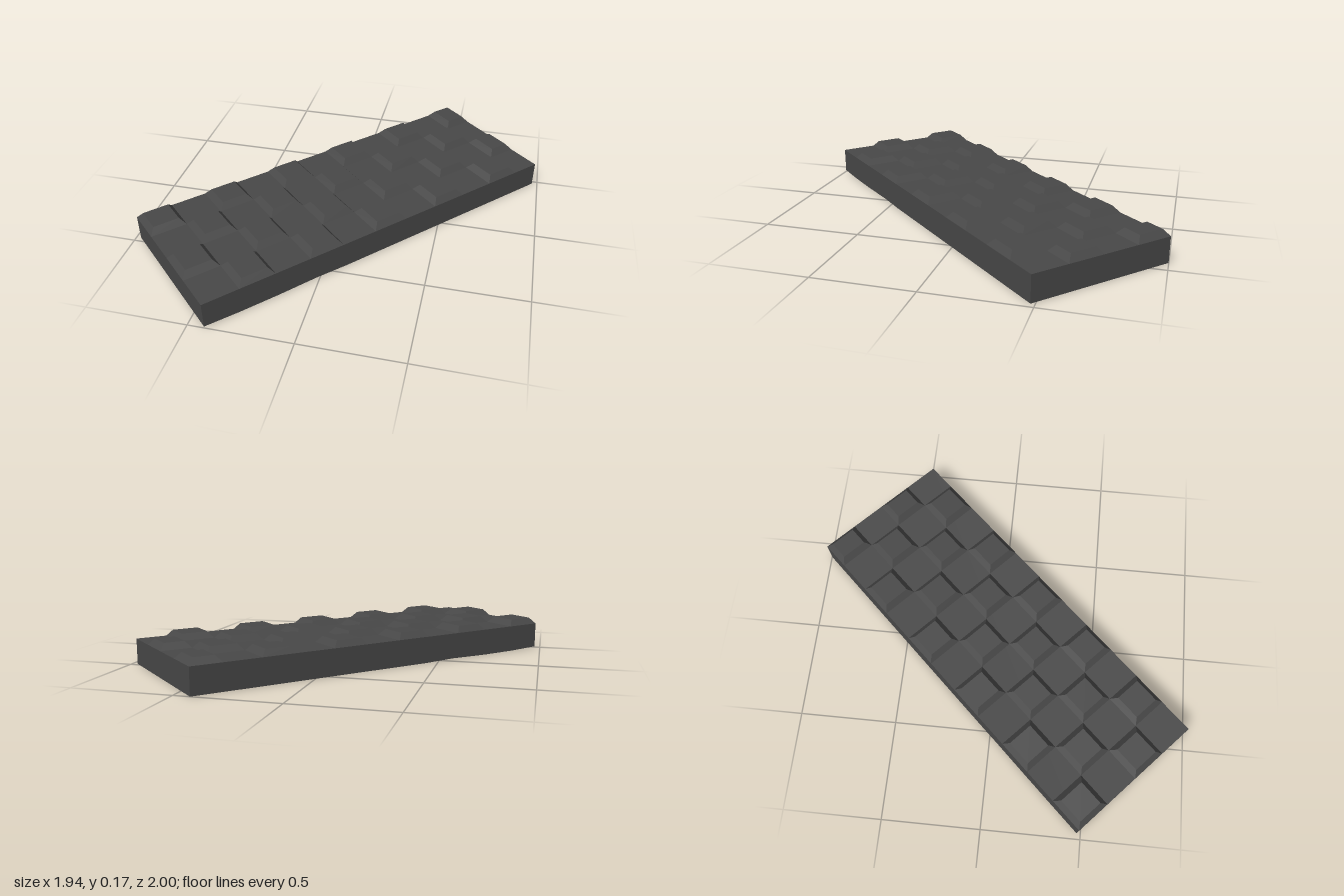
import * as THREE from 'three';

const WIDTH = 0.758, LENGTH = 2.03, COLS = 4, ROWS = 11;
const FIRST_ROW = 0.155; // the row at the back end is a little shorter
const INSET = 0.027, RISE = 0.032;

// height of the slab's top, which climbs slightly towards the front end
const topAt = (z) => 0.131 + 0.008 * (z / LENGTH + 0.5);

// slab: side profile (length, height) extruded across the width
function slabGeometry() {
  const h = LENGTH / 2;
  const shape = new THREE.Shape([
    [-h, 0], [0.25, 0], [0.42, 0.005], [0.64, 0.001], [0.84, 0.002], [h, 0.008],
    [h, topAt(h)], [-h, topAt(-h)],
  ].map(([z, y]) => new THREE.Vector2(z, y)));
  return new THREE.ExtrudeGeometry(shape, { depth: WIDTH, bevelEnabled: false })
    .rotateY(-Math.PI / 2)
    .translate(WIDTH / 2, 0, 0);
}

// raised tile: a box whose upper corners are drawn in on all four sides
function tileGeometry(x, z, width, length) {
  const geometry = new THREE.BoxGeometry(width, RISE, length).toNonIndexed();
  const p = geometry.attributes.position;
  for (let i = 0; i < p.count; i++) {
    const upper = p.getY(i) > 0;
    const inset = upper ? INSET : 0;
    const px = x + p.getX(i) - Math.sign(p.getX(i)) * inset;
    const pz = z + p.getZ(i) - Math.sign(p.getZ(i)) * inset;
    p.setXYZ(i, px, topAt(pz) + (upper ? RISE : 0), pz);
  }
  geometry.computeVertexNormals();
  return geometry;
}

export function createModel() {
  const model = new THREE.Group();
  model.name = 'checkeredSlab';
  const material = new THREE.MeshStandardMaterial({ color: 0x484848, flatShading: true });

  const slab = new THREE.Mesh(slabGeometry(), material);
  slab.name = 'slab';

  // tiles on every other cell, checkerboard fashion
  const tiles = new THREE.Group();
  tiles.name = 'raisedTiles';
  const cellWidth = WIDTH / COLS;
  const cellLength = (LENGTH - FIRST_ROW) / (ROWS - 1);
  let start = -LENGTH / 2;
  for (let row = 0; row < ROWS; row++) {
    const length = row === 0 ? FIRST_ROW : cellLength;
    for (let col = row % 2; col < COLS; col += 2) {
      const x = -WIDTH / 2 + (col + 0.5) * cellWidth;
      const tile = new THREE.Mesh(tileGeometry(x, start + length / 2, cellWidth, length), material);
      tile.name = 'raisedTile';
      tiles.add(tile);
    }
    start += length;
  }

  // the whole slab lies diagonally on the ground
  const body = new THREE.Group();
  body.name = 'body';
  body.add(slab, tiles);
  body.rotation.y = -0.754;
  model.add(body);
  return model;
}
